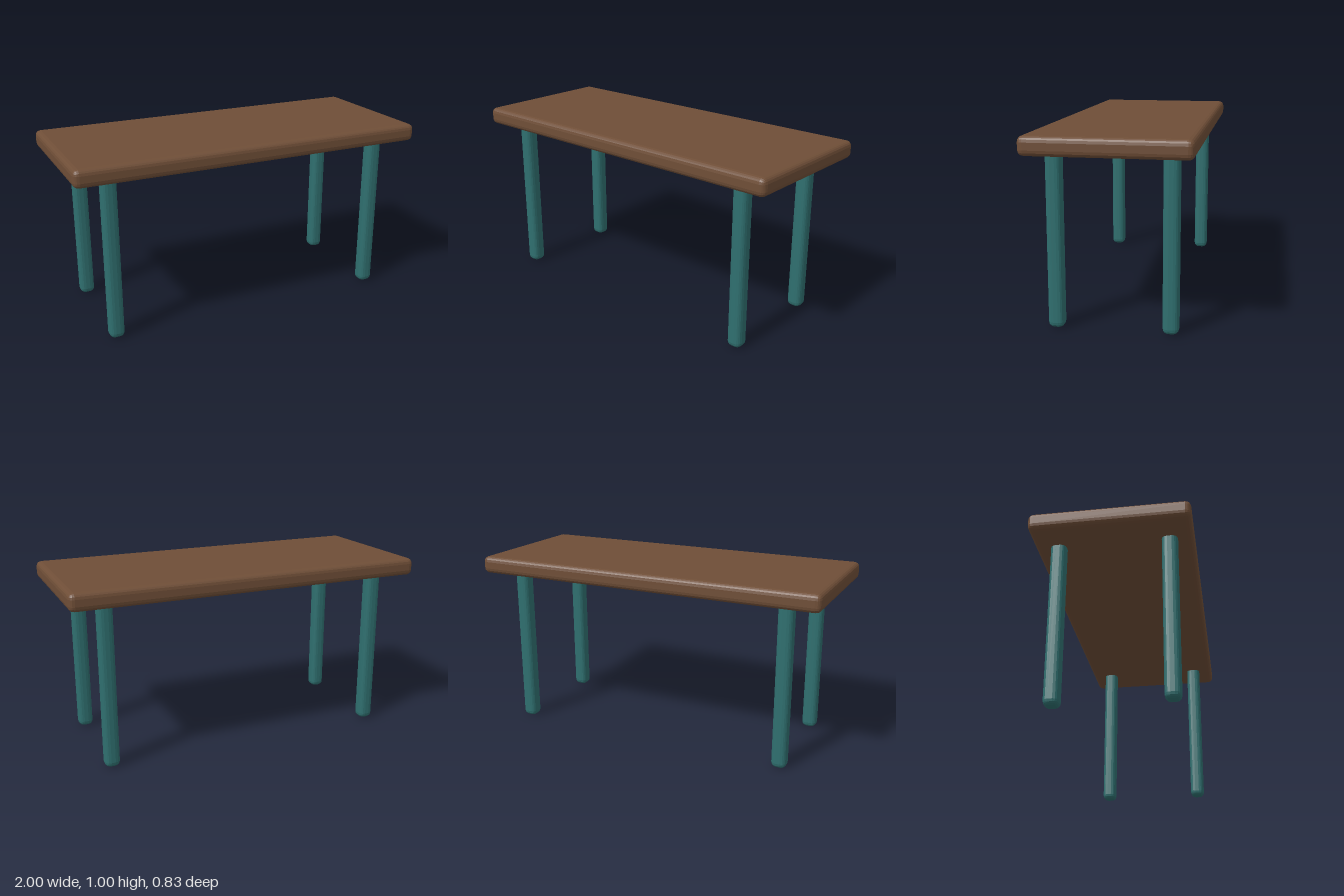
import * as THREE from 'three';
import { RoundedBoxGeometry } from 'three/addons/geometries/RoundedBoxGeometry.js';

const BEVEL = 0.03;

// Box with two-step faceted bevels, placed by its centre
function bevelledBox(name, size, centre, color) {
  const material = new THREE.MeshStandardMaterial({ color, flatShading: true });
  const mesh = new THREE.Mesh(new RoundedBoxGeometry(...size, 2, BEVEL), material);
  mesh.name = name;
  mesh.position.set(...centre);
  return mesh;
}

export function createModel() {
  const table = new THREE.Group();
  table.name = 'table';

  // Wooden top
  const bottom = 0.9, top = 0.997;
  table.add(bevelledBox('tabletop', [2, top - bottom, 0.832], [0, (top + bottom) / 2, 0], 0x6f4e37));

  // Four legs, their upper ends set into the top
  const legHeight = bottom + BEVEL;
  for (const [side, x] of [['Left', 0.8], ['Right', -0.8]]) {
    for (const [end, z] of [['front', 0.291], ['back', -0.291]]) {
      table.add(bevelledBox(`${end}${side}Leg`, [0.083, legHeight, 0.083], [x, legHeight / 2, z], 0x2f6f6f));
    }
  }
  return table;
}
